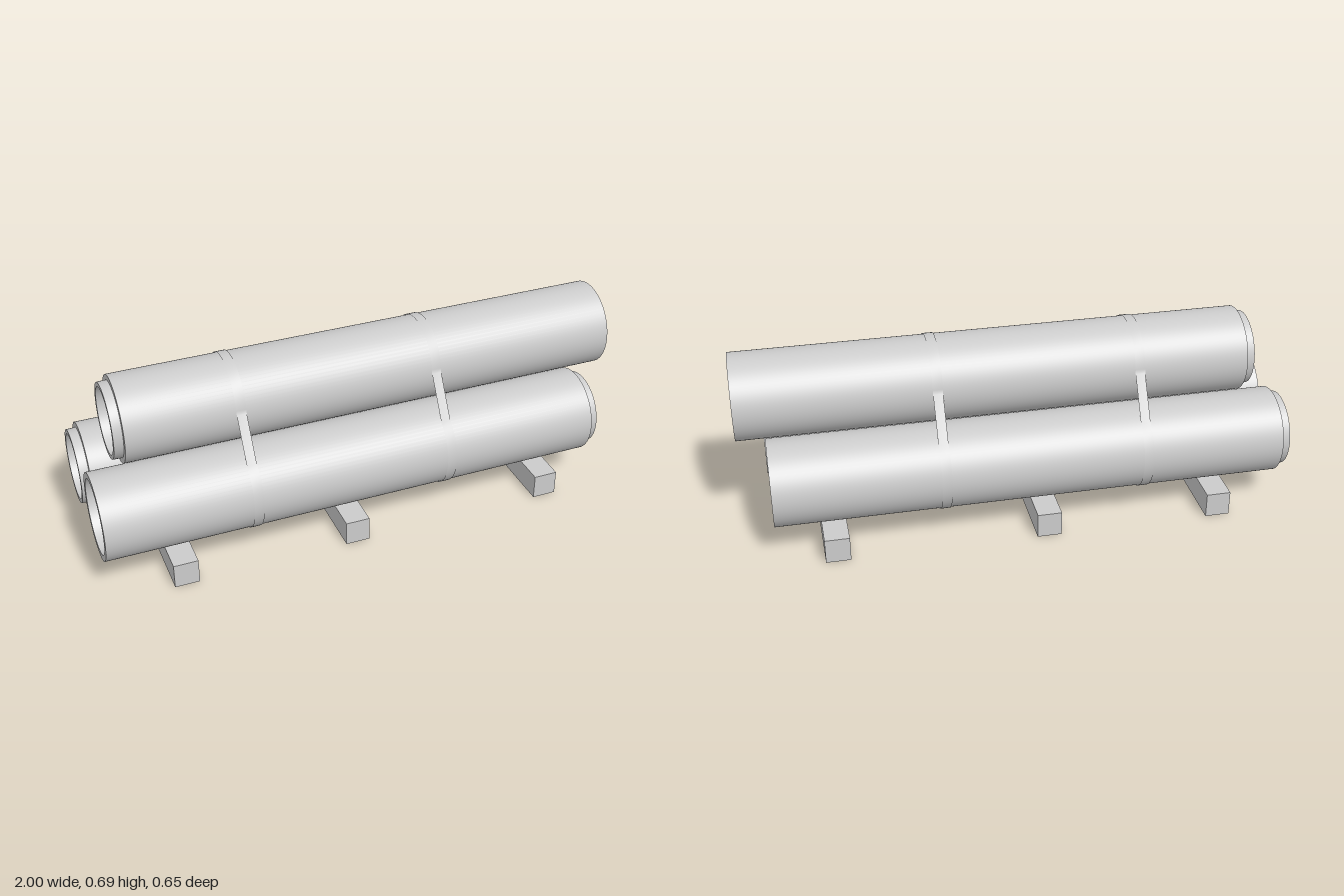
import * as THREE from 'three';
import { toCreasedNormals } from 'three/addons/utils/BufferGeometryUtils.js';

const R = 0.158;         // pipe radius
const HALF = 0.95;       // half pipe length
const material = new THREE.MeshStandardMaterial({ color: 0xcccccc });
const strapMaterial = new THREE.MeshStandardMaterial({ color: 0xcccccc, side: THREE.DoubleSide });

// Pipe with a stepped spigot at one end and a socket recess at the other, along x
function pipeGeometry() {
  const profile = [
    [0.135, -HALF], [R, -HALF],                              // socket rim
    [R, HALF - 0.034], [0.138, HALF - 0.034],                // shoulder
    [0.137, HALF], [0.121, HALF],                            // spigot
    [0.124, -HALF + 0.06], [0.135, -HALF + 0.06], [0.135, -HALF], // bore and recess
  ].map(([r, y]) => new THREE.Vector2(r, y));
  const g = toCreasedNormals(new THREE.LatheGeometry(profile, 72), 0.5);
  return g.rotateZ(-Math.PI / 2);
}

// Closed strap loop around the stack, as [z, y] points
function strapPath() {
  const arcs = [ // centre z, centre y, start and end angle in degrees
    [0, 0.529, 175, 5],
    [0.162, 0.257, 56, -121],
    [-0.162, 0.257, -78, -236],
  ];
  const points = [];
  for (const [z, y, from, to] of arcs) {
    const steps = 28;
    for (let i = 0; i <= steps; i++) {
      const a = THREE.MathUtils.degToRad(from + (to - from) * i / steps);
      points.push([z + 0.161 * Math.cos(a), y + 0.161 * Math.sin(a)]);
    }
  }
  return points;
}

// Thin ribbon swept across its width along x
function strapGeometry(width) {
  const path = strapPath(), n = path.length;
  const positions = [], indices = [];
  path.forEach(([z, y], i) => {
    positions.push(-width / 2, y, z, width / 2, y, z);
    const a = 2 * i, b = 2 * ((i + 1) % n);
    indices.push(a, b, a + 1, a + 1, b, b + 1);
  });
  const g = new THREE.BufferGeometry();
  g.setAttribute('position', new THREE.Float32BufferAttribute(positions, 3));
  g.setIndex(indices);
  g.computeVertexNormals();
  return g;
}

export function createModel() {
  const model = new THREE.Group();
  model.name = 'pipeStack';
  const add = (name, geometry, mat, x, y, z) => {
    const mesh = new THREE.Mesh(geometry, mat);
    mesh.name = name;
    mesh.position.set(x, y, z);
    model.add(mesh);
    return mesh;
  };

  // Pipes, the front one turned end for end
  const pipe = pipeGeometry();
  add('frontPipe', pipe, material, -0.048, 0.257, 0.162);
  add('backPipe', pipe, material, -0.053, 0.257, -0.162).rotation.y = Math.PI;
  add('topPipe', pipe, material, 0.05, 0.529, 0).rotation.y = Math.PI;

  // Straps binding the stack
  const strap = strapGeometry(0.036);
  for (const x of [-0.454, 0.286]) add('strap', strap, strapMaterial, x, 0, 0);

  // Support beams
  const beam = new THREE.BoxGeometry(0.09, 0.093, 0.65);
  for (const x of [-0.731, -0.086, 0.685]) add('supportBeam', beam, material, x, 0.0465, 0);

  return model;
}
